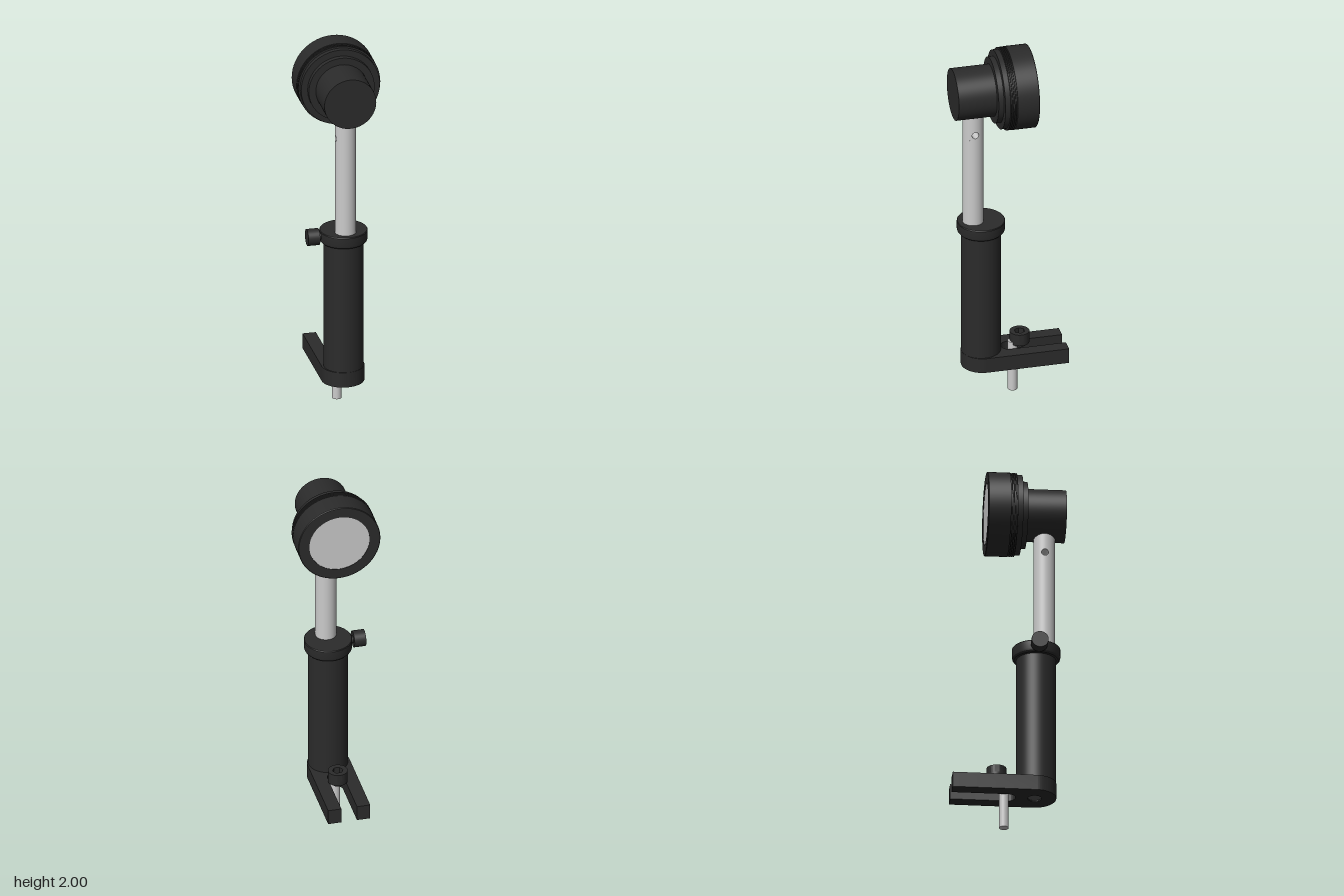
import * as THREE from 'three';
import { toCreasedNormals } from 'three/addons/utils/BufferGeometryUtils.js';
import { ParametricGeometry } from 'three/addons/geometries/ParametricGeometry.js';

const black = new THREE.MeshStandardMaterial({ color: 0x2b2b2b });
const grey = new THREE.MeshStandardMaterial({ color: 0xcccccc });
const boltGrey = new THREE.MeshStandardMaterial({ color: 0x555555 });
const SEG = 64;

function add(parent, name, geometry, material, x = 0, y = 0, z = 0) {
  const mesh = new THREE.Mesh(geometry, material);
  mesh.name = name;
  mesh.position.set(x, y, z);
  parent.add(mesh);
  return mesh;
}

function group(parent, name, x, y, z, turn) {
  const g = new THREE.Group();
  g.name = name;
  g.position.set(x, y, z);
  g.rotation.y = turn;
  parent.add(g);
  return g;
}

// Upright cylinder between two heights
function rod(parent, name, material, r, y0, y1, x = 0, z = 0) {
  return add(parent, name, new THREE.CylinderGeometry(r, r, y1 - y0, SEG), material, x, (y0 + y1) / 2, z);
}

// Turned part from [radius, height] pairs, listed bottom to top
function turned(points) {
  const profile = points.map(([r, y]) => new THREE.Vector2(r, y));
  return toCreasedNormals(new THREE.LatheGeometry(profile, SEG), 0.5);
}

// Flat outline (x, -z) extruded upwards
function slab(shape, height) {
  const g = new THREE.ExtrudeGeometry(shape, { depth: height, bevelEnabled: false, curveSegments: 32 });
  return toCreasedNormals(g.rotateX(-Math.PI / 2), 0.5);
}

function buildHead(root) {
  const head = group(root, 'mirrorHead', 0.002, 1.785, 0, 0.02);
  const points = [[0.16, -0.105], [0.16, -0.117], [0.215, -0.117], [0.218, -0.114], [0.218, 0]];
  // Fine thread behind the retaining ring
  for (let i = 0; i < 4; i++) {
    const z = 0.0005 + i * 0.009;
    points.push([0.21, z], [0.21, z + 0.004], [0.217, z + 0.0045], [0.217, z + 0.0085]);
  }
  points.push([0.208, 0.037], [0.208, 0.064], [0.174, 0.064], [0.174, 0.092], [0.137, 0.092], [0.137, 0.294], [0, 0.294]);
  add(head, 'mirrorMount', turned(points).rotateX(Math.PI / 2), black);
  add(head, 'mirrorFace', new THREE.CircleGeometry(0.161, SEG).rotateY(Math.PI), grey, 0, 0, -0.115);
}

function buildPost(root) {
  const r = 0.055, hole = 0.018, a = 0.03, holeY = 1.555;
  const post = group(root, 'post', 0.004, 0, 0.187, 0.02);
  rod(post, 'postLower', grey, r, 0.95, holeY - a);
  rod(post, 'postUpper', grey, r, holeY + a, 1.67);
  const half = Math.asin(a / r);
  const onPost = (y, z, out) => out.set(Math.sqrt(r * r - z * z), y, z);
  // Wall patch running from the round hole out to a square border
  const patch = new ParametricGeometry((u, v, out) => {
    const t = u * Math.PI * 2, c = Math.cos(t), s = Math.sin(t);
    const edge = a / Math.max(Math.abs(c), Math.abs(s));
    const d = hole + (edge - hole) * v;
    onPost(d * s, d * c, out);
  }, 48, 8);
  // Plain wall between the two patches
  const wall = new THREE.CylinderGeometry(r, r, 2 * a, 24, 1, true, half + Math.PI / 2, Math.PI - 2 * half);
  for (const turn of [0, Math.PI]) {
    add(post, 'postHoleRim', patch, grey, 0, holeY, 0).rotation.y = turn;
    add(post, 'postHoleWall', wall, grey, 0, holeY, 0).rotation.y = turn;
  }
  // Cross bore
  const bore = new ParametricGeometry((u, v, out) => {
    const t = u * Math.PI * 2;
    onPost(hole * Math.sin(t), hole * Math.cos(t), out);
    out.x *= 2 * v - 1;
  }, 48, 2);
  add(post, 'postCrossBore', bore, grey, 0, holeY, 0);
}

function buildHolder(root) {
  const holder = group(root, 'postHolder', 0.002, 0, 0.145, 0.02);
  rod(holder, 'holderTube', black, 0.103, 0.25, 0.97);
  const collar = turned([[0.1, 0.955], [0.115, 0.957], [0.123, 0.966], [0.125, 0.975], [0.125, 1.018], [0.122, 1.022], [0, 1.022]]);
  add(holder, 'holderCollar', collar, black);
  // Side clamping screw
  const knob = new THREE.CylinderGeometry(0.044, 0.044, 0.062, 32).rotateZ(Math.PI / 2);
  add(holder, 'thumbscrewKnob', knob, black, -0.164, 0.993, 0.005);
  const stem = new THREE.CylinderGeometry(0.02, 0.02, 0.06, 24).rotateZ(Math.PI / 2);
  add(holder, 'thumbscrewStem', stem, black, -0.125, 0.993, 0.005);
}

function buildBase(root) {
  const base = group(root, 'base', 0, 0, 0.137, 0.026);
  const R = 0.112, w = 0.0415, end = 0.434, slot = 0.14;
  // Fork with a rounded front and an open slot at the back
  const fork = new THREE.Shape();
  fork.moveTo(R, 0);
  fork.lineTo(R, end);
  fork.lineTo(w, end);
  fork.lineTo(w, slot);
  fork.absarc(0, slot, w, 0, Math.PI, true);
  fork.lineTo(-w, end);
  fork.lineTo(-R, end);
  fork.lineTo(-R, 0);
  fork.absarc(0, 0, R, Math.PI, Math.PI * 2, false);
  const hole = new THREE.Path();
  hole.absarc(0, 0, 0.036, 0, Math.PI * 2, true);
  fork.holes.push(hole);
  add(base, 'forkBase', slab(fork, 0.083), black, 0, 0.172, 0);
  rod(base, 'mountingBolt', boltGrey, 0.036, 0.178, 0.25);
}

function buildClampScrew(root) {
  const screw = group(root, 'clampScrew', 0, 0, 0, 0);
  rod(screw, 'screwShank', grey, 0.025, 0, 0.285, 0.001, -0.022);
  rod(screw, 'screwNeck', black, 0.027, 0.25, 0.275, -0.004, -0.06);
  rod(screw, 'screwHeadFloor', black, 0.051, 0.27, 0.295, -0.004, -0.06);
  // Cap with a hexagonal socket
  const cap = new THREE.Shape();
  cap.absarc(0, 0, 0.051, 0, Math.PI * 2, false);
  const hex = [];
  for (let i = 0; i < 6; i++) {
    hex.push(new THREE.Vector2(0.028 * Math.cos(i * Math.PI / 3), -0.028 * Math.sin(i * Math.PI / 3)));
  }
  cap.holes.push(new THREE.Path(hex));
  add(screw, 'screwHead', slab(cap, 0.04), black, -0.004, 0.295, -0.06);
}

export function createModel() {
  const root = new THREE.Group();
  root.name = 'mirrorOnPost';
  buildHead(root);
  buildPost(root);
  buildHolder(root);
  buildBase(root);
  buildClampScrew(root);
  return root;
}
